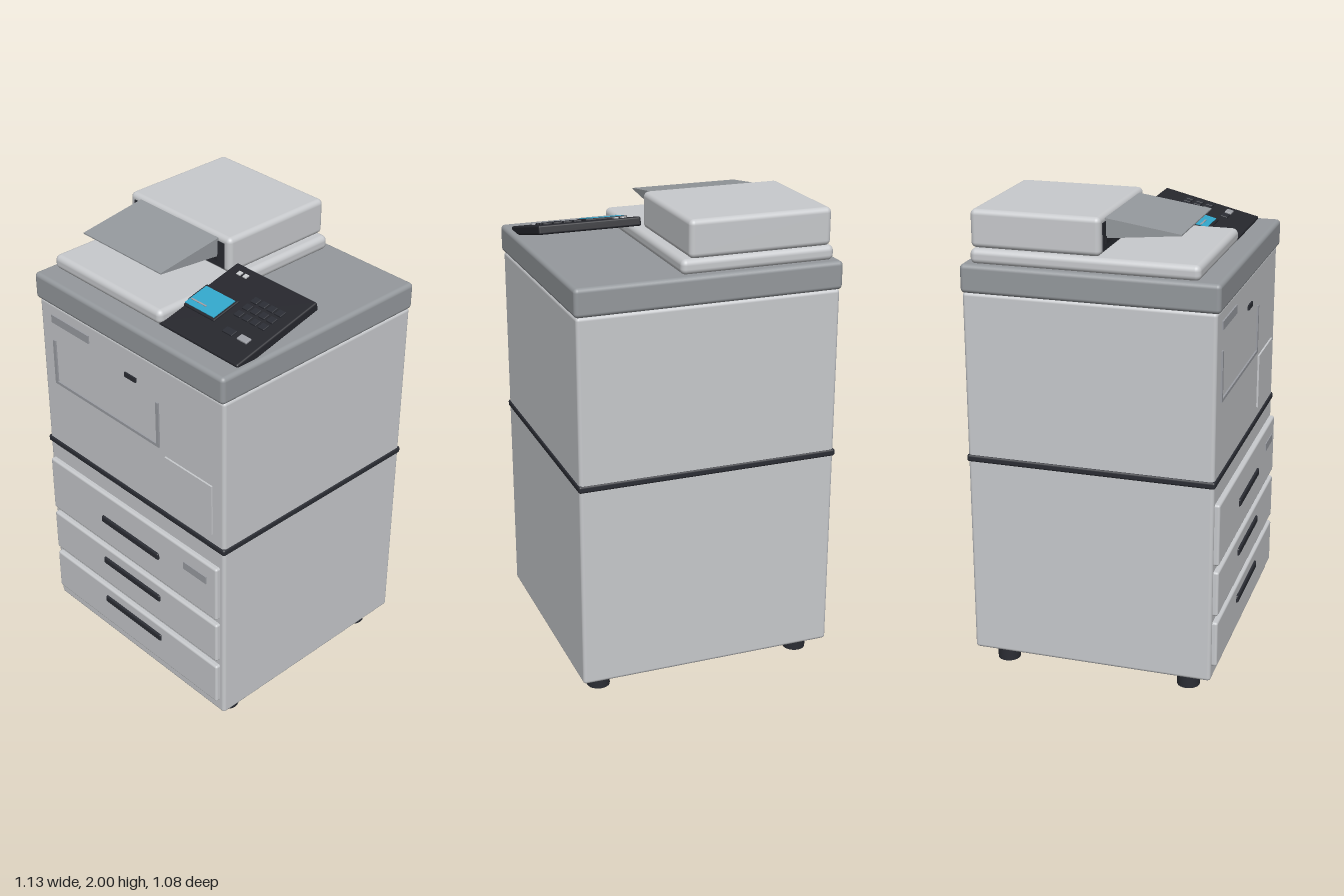
import * as THREE from 'three';
import { RoundedBoxGeometry } from 'three/addons/geometries/RoundedBoxGeometry.js';

const paint = (name, color) => {
  const m = new THREE.MeshStandardMaterial({ color });
  m.name = name;
  return m;
};

export function createModel() {
  const shell = paint('light grey shell', 0xc8cacd);
  const grey = paint('mid grey', 0x95999d);
  const label = paint('label grey', 0x9c9ea4);
  const dark = paint('charcoal', 0x2b2d34);
  const black = paint('panel black', 0x26272d);
  const blue = paint('screen blue', 0x32a6ca);

  const model = new THREE.Group();
  model.name = 'officeCopier';

  const add = (parent, name, geometry, material) => {
    const mesh = new THREE.Mesh(geometry, material);
    mesh.name = name;
    parent.add(mesh);
    return mesh;
  };
  // Box given by its limits on each axis, rounded when r > 0
  const box = (parent, name, mat, [x0, x1], [y0, y1], [z0, z1], r = 0) => {
    const s = [x1 - x0, y1 - y0, z1 - z0];
    const g = r ? new RoundedBoxGeometry(...s, 4, r) : new THREE.BoxGeometry(...s);
    const mesh = add(parent, name, g, mat);
    mesh.position.set((x0 + x1) / 2, (y0 + y1) / 2, (z0 + z1) / 2);
    return mesh;
  };

  // Cabinet, dividing band, upper body and scanner bed
  box(model, 'lowerCabinet', shell, [-0.557, 0.555], [0.075, 0.96], [-0.535, 0.51], 0.015);
  box(model, 'dividingBand', dark, [-0.563, 0.56], [0.945, 0.976], [-0.54, 0.516], 0.01);
  box(model, 'upperBody', shell, [-0.557, 0.555], [0.96, 1.67], [-0.535, 0.51], 0.015);
  box(model, 'scannerBed', grey, [-0.566, 0.562], [1.668, 1.786], [-0.54, 0.524], 0.018);

  // Feet
  for (const x of [-0.46, 0.455]) {
    for (const z of [-0.417, 0.394]) {
      add(model, 'foot', new THREE.CylinderGeometry(0.049, 0.049, 0.09, 24), dark).position.set(x, 0.045, z);
    }
  }

  // Paper drawers with handles
  for (const [y0, y1, handleY] of [[0.6, 0.87, 0.733], [0.372, 0.572, 0.503], [0.14, 0.342, 0.278]]) {
    box(model, 'drawer', shell, [-0.537, 0.532], [y0, y1], [0.48, 0.532], 0.01);
    box(model, 'drawerHandle', dark, [-0.187, 0.183], [handleY - 0.017, handleY + 0.017], [0.51, 0.541], 0.008);
  }
  box(model, 'drawerLabel', label, [0.336, 0.474], [0.766, 0.802], [0.53, 0.536]);

  // Details of the upper front
  box(model, 'nameplate', label, [-0.479, -0.24], [1.582, 1.618], [0.508, 0.516]);
  box(model, 'latchSlot', dark, [-0.018, 0.05], [1.53, 1.551], [0.508, 0.517]);
  for (const x of [-0.479, 0.167]) {
    box(model, 'bypassTrayEdge', label, [x, x + 0.016], [1.285, 1.497], [0.508, 0.517]);
  }
  box(model, 'bypassTrayEdge', label, [-0.463, 0.167], [1.285, 1.298], [0.508, 0.517]);
  box(model, 'serviceDoor', shell, [0.216, 0.49], [1.02, 1.258], [0.508, 0.518]);

  // Platen cover and document feeder
  box(model, 'platenCover', shell, [-0.54, 0.114], [1.782, 1.845], [-0.505, 0.436], 0.024);
  box(model, 'documentFeeder', shell, [-0.524, 0.081], [1.845, 2.0], [-0.505, 0.033], 0.022);
  box(model, 'feederMouth', dark, [-0.493, 0.051], [1.862, 1.974], [0.02, 0.037]);
  box(model, 'feederLip', black, [-0.463, 0.015], [1.885, 1.915], [0.03, 0.04]);

  // Wedge-shaped document tray, profile drawn in z and y
  const wedge = new THREE.Shape([[0.02, 1.905], [0.34, 1.936], [0.34, 1.941], [0.02, 1.988]]
    .map(([z, y]) => new THREE.Vector2(-z, y)));
  const tray = add(model, 'documentTray',
    new THREE.ExtrudeGeometry(wedge, { depth: 0.472, bevelEnabled: false }), grey);
  tray.rotation.y = Math.PI / 2;
  tray.position.x = -0.457;

  // Tilted control panel; local y = 0 is its top face
  const panel = new THREE.Group();
  panel.name = 'controlPanel';
  panel.position.set(0, 1.848, 0.218);
  panel.rotation.x = 0.24;
  model.add(panel);
  box(panel, 'panelSlab', black, [0.098, 0.538], [-0.038, 0], [-0.218, 0.218], 0.008);

  // Thin item on the panel, placed by centre and size
  const key = (name, mat, x, z, w, d, y0, y1, r = 0) =>
    box(panel, name, mat, [x - w / 2, x + w / 2], [y0, y1], [z - d / 2, z + d / 2], r);
  key('screenFrame', black, 0.191, 0.022, 0.185, 0.14, -0.01, 0.007, 0.005);
  key('screen', blue, 0.191, 0.023, 0.164, 0.118, 0.004, 0.01);
  key('screenLine', label, 0.158, 0.052, 0.086, 0.007, 0.008, 0.012);
  for (const x of [0.159, 0.193]) key('indicator', shell, x, -0.171, 0.02, 0.02, -0.003, 0.005);
  for (let row = 0; row < 3; row++) {
    for (let col = 0; col < 4; col++) {
      key('numberKey', dark, 0.335 + col * 0.044, -0.087 + row * 0.046, 0.034, 0.032, -0.005, 0.007, 0.003);
    }
  }
  key('stopKey', dark, 0.377, 0.098, 0.054, 0.032, -0.005, 0.007, 0.003);
  key('startKey', label, 0.455, 0.098, 0.052, 0.03, -0.005, 0.007, 0.003);

  return model;
}
